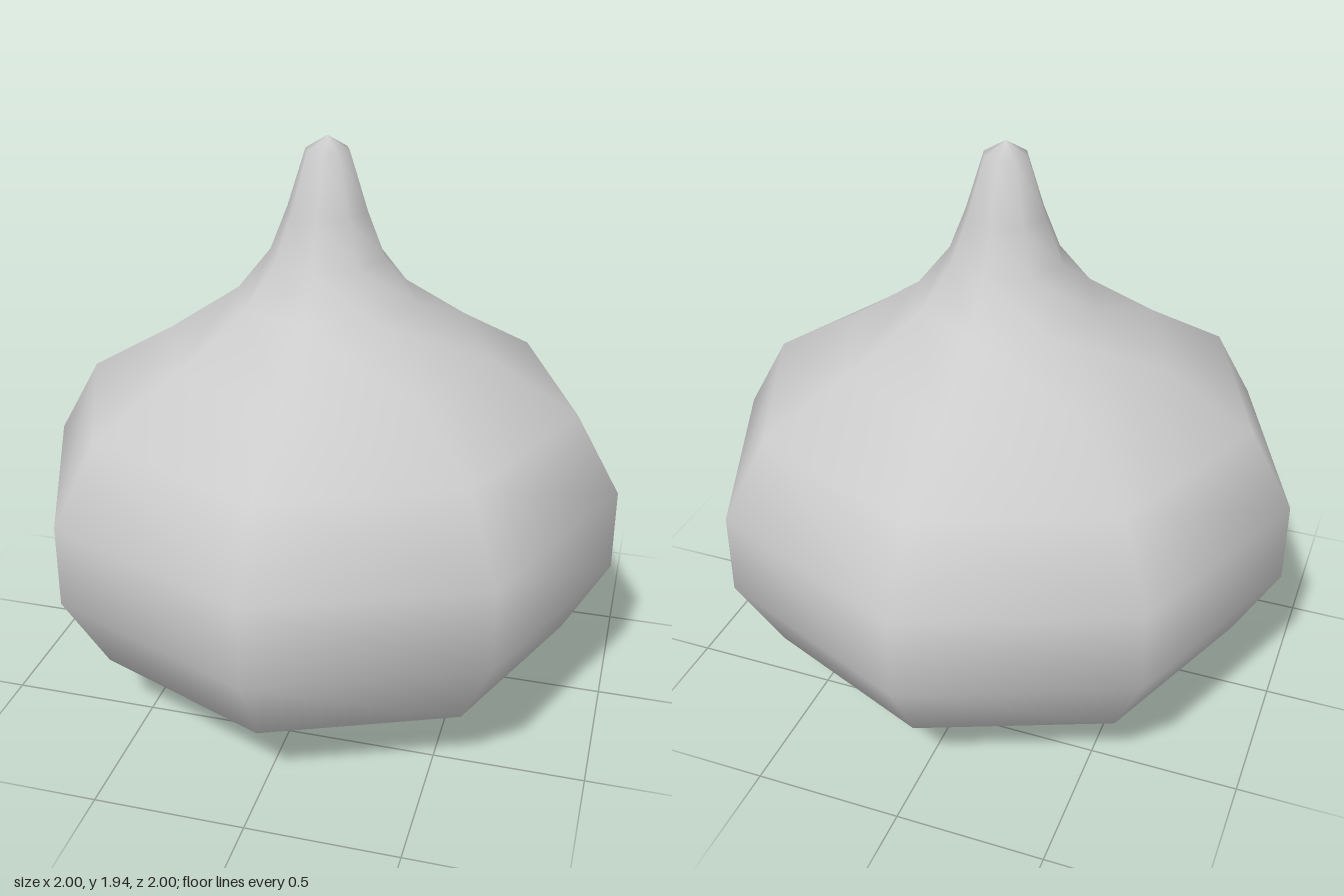
import * as THREE from 'three';

// Outline from the bottom centre to the tip: [radius, height]
const PROFILE = [
  [0, 0], [0.3, 0.03], [0.6, 0.09], [0.85, 0.25], [1, 0.52], [1, 0.8], [0.85, 1.065],
  [0.56, 1.235], [0.31, 1.405], [0.195, 1.55], [0.135, 1.7], [0.073, 1.895], [0, 1.94],
];

export function createModel() {
  const group = new THREE.Group();
  group.name = 'onionDome';

  // Eight-sided bulb drawn up into a narrow spire, smoothly shaded
  const points = PROFILE.map(([r, y]) => new THREE.Vector2(r, y));
  const dome = new THREE.Mesh(
    new THREE.LatheGeometry(points, 8),
    new THREE.MeshStandardMaterial({ color: 0xcccccc }),
  );
  dome.name = 'dome';
  group.add(dome);

  return group;
}
